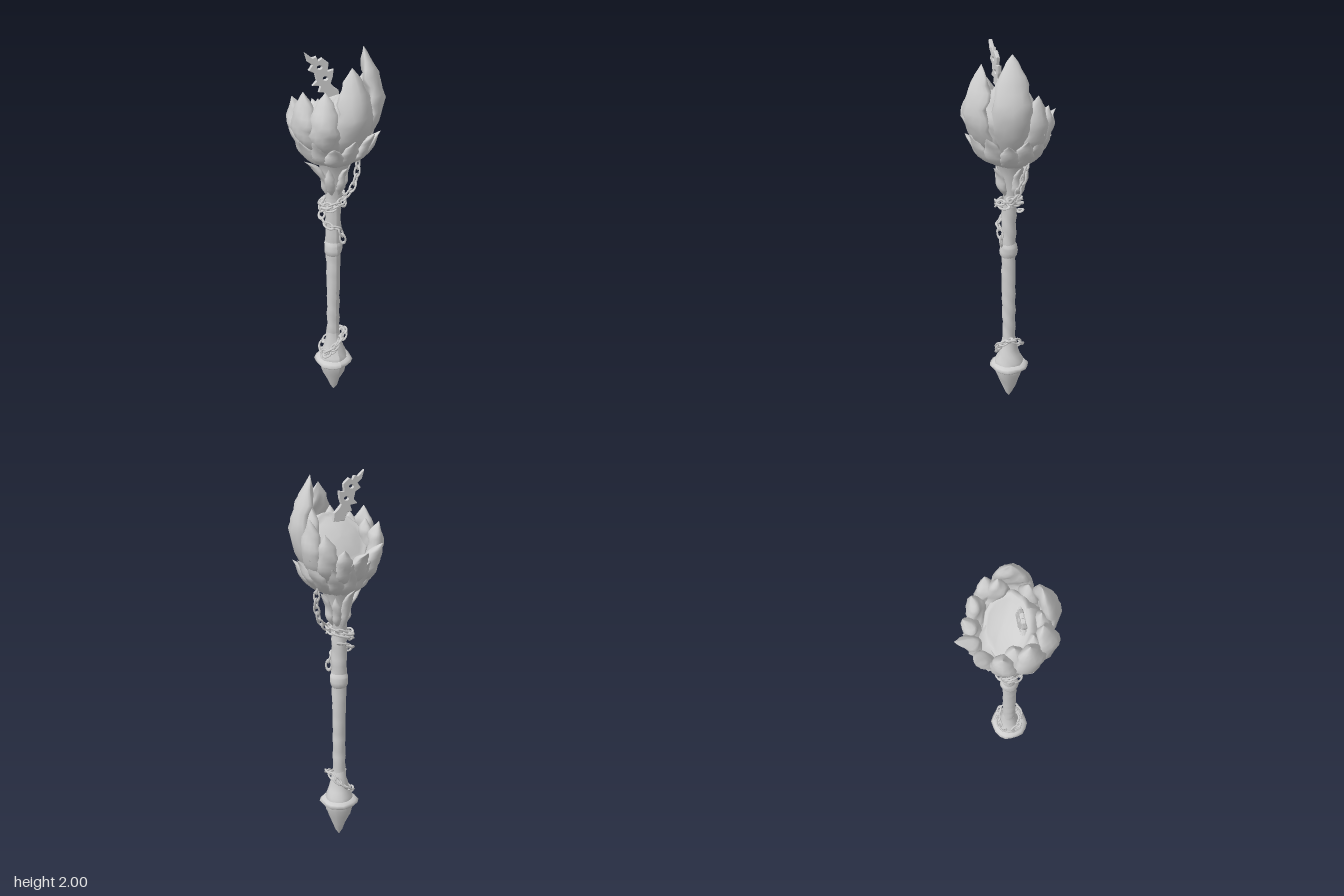
import * as THREE from 'three';

const stone = new THREE.MeshStandardMaterial({ color: 0xcecece, side: THREE.DoubleSide });
stone.name = 'pale stone';
const V = (x, y, z) => new THREE.Vector3(x, y, z);
const rad = THREE.MathUtils.degToRad;

function add(parent, name, geometry) {
  const mesh = new THREE.Mesh(geometry, stone);
  mesh.name = name;
  parent.add(mesh);
  return mesh;
}

// Smooth rolling unevenness for carved surfaces
const bump = (x, y, z) =>
  Math.sin(x * 61 + y * 23) * Math.cos(z * 57 - y * 31) + 0.6 * Math.sin(y * 67 + x * 40 - z * 45);

function roughen(geometry, amount) {
  const p = geometry.attributes.position;
  for (let i = 0; i < p.count; i++) {
    const x = p.getX(i), y = p.getY(i), z = p.getZ(i);
    const k = Math.hypot(x, z) < 0.005 ? 0 : amount * bump(x, y, z) / Math.hypot(x, z);
    p.setXYZ(i, x * (1 + k), y, z * (1 + k));
  }
  geometry.computeVertexNormals();
  return geometry;
}

const lathe = (points, sides) => new THREE.LatheGeometry(points.map(([r, y]) => new THREE.Vector2(r, y)), sides);

// A thick pointed petal wrapped around the staff axis; azimuth 0 faces the front
function petal({ az, y0, y1, r0, rm, rt, hw, th }) {
  const h = y1 - y0, rows = 14, sides = 16;
  const spine = new THREE.CatmullRomCurve3([
    V(r0, y0, 0), V(r0 * 0.3 + rm * 0.7, y0 + 0.25 * h, 0), V(rm, y0 + 0.52 * h, 0),
    V(rm * 0.55 + rt * 0.45, y0 + 0.8 * h, 0), V(rt, y1, 0)]);
  const breadth = new THREE.CatmullRomCurve3(
    [0.5, 0.82, 1, 1, 0.9, 0.55, 0.02].map((w, i) => V(i, w, 0)));
  const pos = [], index = [];
  for (let j = 0; j <= rows; j++) {
    const t = j / rows, c = spine.getPoint(t), w = breadth.getPoint(t).y;
    for (let i = 0; i < sides; i++) {
      const a = i / sides * Math.PI * 2, u = Math.cos(a), s = Math.sin(a);
      const ridge = s > 0 ? 0.25 * (1 - Math.abs(u)) : 0;
      const lump = bump(u * hw * 0.7 + az, c.y * 0.8, az);
      const r = Math.max(0.005, c.x + th * Math.min(1, w * 1.2) * (s + ridge - 0.85) + 0.007 * w * lump);
      const jag = 1 + 0.1 * Math.sin(j * 2.1 + az + 3 * u);
      const ang = rad(az) + u * hw * w * jag / Math.max(c.x, 0.06);
      pos.push(r * Math.sin(ang), c.y - 0.02 * w * Math.abs(u) * t, r * Math.cos(ang));
      if (j < rows) {
        const a0 = j * sides + i, b0 = j * sides + (i + 1) % sides;
        index.push(a0, a0 + sides, b0, b0, a0 + sides, b0 + sides);
      }
    }
  }
  const g = new THREE.BufferGeometry();
  g.setAttribute('position', new THREE.Float32BufferAttribute(pos, 3));
  g.setIndex(index);
  g.computeVertexNormals();
  return g;
}

// Interlocked oval links along a path, every other link turned a quarter
function chain(parent, name, points) {
  const group = new THREE.Group();
  group.name = name;
  const curve = new THREE.CatmullRomCurve3(points.map(p => V(...p)));
  const n = Math.round(curve.getLength() / 0.04);
  const link = new THREE.TorusGeometry(0.015, 0.0055, 6, 12).scale(1.75, 1, 1);
  for (let i = 0; i < n; i++) {
    const t = (i + 0.5) / n;
    const m = add(group, 'chainLink', link);
    m.position.copy(curve.getPointAt(t));
    m.quaternion.setFromUnitVectors(V(1, 0, 0), curve.getTangentAt(t));
    m.rotateX(i % 2 ? 0.8 : 0.8 + Math.PI / 2);
  }
  parent.add(group);
}

// Points of a coil round the staff
function coil(turns, start, r, height) {
  const pts = [];
  for (let i = 0; i <= turns * 12; i++) {
    const a = rad(start) + i / 12 * Math.PI * 2;
    pts.push([-0.012 + r * Math.sin(a), height(a, i / (turns * 12)), 0.008 + r * Math.cos(a)]);
  }
  return pts;
}

export function createModel() {
  const model = new THREE.Group();
  model.name = 'flowerStaff';

  // Handle, with its pointed foot
  const staff = new THREE.Group();
  staff.name = 'staff';
  staff.position.set(-0.01, 0, 0.01);
  model.add(staff);
  add(staff, 'footSpike', roughen(lathe([[0, 0], [0.016, 0.03], [0.038, 0.08], [0.06, 0.13],
    [0.076, 0.175], [0.08, 0.2]], 14), 0.004));
  add(staff, 'footCollar', roughen(lathe([[0.075, 0.193], [0.092, 0.2], [0.104, 0.214], [0.094, 0.226],
    [0.08, 0.236], [0.06, 0.238]], 18), 0.004));
  add(staff, 'footSocket', roughen(lathe([[0.078, 0.232], [0.073, 0.255], [0.058, 0.285], [0.048, 0.32],
    [0.041, 0.36], [0.035, 0.4]], 16), 0.005));
  const shaft = [];
  for (let i = 0; i <= 24; i++) shaft.push([0.034 + 0.006 * i / 24, 0.38 + i * 0.035]);
  add(staff, 'shaft', roughen(lathe(shaft, 16), 0.003));
  add(staff, 'shaftRing', roughen(lathe([[0.036, 0.885], [0.045, 0.9], [0.048, 0.92], [0.046, 0.94],
    [0.046, 0.95], [0.038, 0.965]], 18), 0.002));

  // Flower head
  const head = new THREE.Group();
  head.name = 'flowerHead';
  model.add(head);
  add(head, 'neck', roughen(lathe([[0.04, 1.18], [0.043, 1.24], [0.052, 1.3], [0.064, 1.36],
    [0.082, 1.42], [0.115, 1.47], [0.15, 1.54], [0.1, 1.6]], 20), 0.005));

  // Round heart of the flower, leaning open to the back
  const heart = add(head, 'heart', roughen(lathe([[0, -0.15], [0.06, -0.145], [0.12, -0.11], [0.15, -0.06],
    [0.16, -0.015], [0.155, 0.005], [0.145, 0.01], [0.135, 0.005], [0.115, 0.01], [0.085, 0.018],
    [0.045, 0.024], [0, 0.026]], 28), 0.005));
  heart.position.set(0, 1.68, 0);
  heart.rotation.x = -0.85;

  // Large petals: azimuth, tip height, widest radius, tip radius, half width
  const large = [
    [4, 1.94, 0.24, 0.165, 0.108], [65, 2.0, 0.232, 0.14, 0.11],
    [102, 1.81, 0.222, 0.205, 0.07], [127, 1.74, 0.205, 0.2, 0.065], [154, 1.67, 0.19, 0.205, 0.06],
    [180, 1.66, 0.185, 0.25, 0.055], [-145, 1.68, 0.195, 0.23, 0.065], [-112, 1.76, 0.215, 0.205, 0.07],
    [-75, 1.82, 0.23, 0.195, 0.085], [-40, 1.83, 0.235, 0.175, 0.085]];
  for (const [az, y1, rm, rt, hw] of large)
    add(head, 'largePetal', petal({ az, y0: 1.47, y1, r0: 0.11, rm, rt, hw, th: 0.036 }));

  // Inner petals filling the gaps of the tall front
  for (const [az, y1] of [[-18, 1.82], [34, 1.85], [88, 1.85], [-56, 1.79], [-94, 1.77]])
    add(head, 'innerPetal', petal({ az, y0: 1.5, y1, r0: 0.11, rm: 0.195, rt: 0.155, hw: 0.07, th: 0.035 }));

  // Short scales beneath
  const scales = [[0, 1.6], [32, 1.61], [60, 1.58], [84, 1.6], [108, 1.62], [138, 1.58], [166, 1.6],
    [-166, 1.6], [-132, 1.58], [-100, 1.62], [-74, 1.58], [-50, 1.62], [-26, 1.57]];
  for (const [az, y1] of scales) {
    const back = Math.abs(az) > 120;
    add(head, 'scalePetal', petal({ az, y0: 1.41, y1, r0: 0.07, rm: back ? 0.155 : 0.185,
      rt: back ? 0.205 : 0.23, hw: 0.052, th: 0.022 }));
  }

  // Thorny leaves on the neck
  for (const [az, y1, rt] of [[-90, 1.44, 0.165], [90, 1.42, 0.11], [180, 1.45, 0.14], [10, 1.41, 0.11],
    [-45, 1.4, 0.085], [135, 1.4, 0.085]])
    add(head, 'neckThorn', petal({ az, y0: 1.24, y1, r0: 0.042, rm: 0.076, rt, hw: 0.03, th: 0.018 }));

  // Flame wisp rising from the front rim of the heart
  const wisp = new THREE.Shape([[0.0, 1.76], [-0.005, 1.8], [-0.03, 1.82], [-0.045, 1.84], [-0.035, 1.87],
    [-0.03, 1.905], [-0.06, 1.9], [-0.055, 1.94], [-0.085, 1.965], [-0.105, 1.955], [-0.115, 1.975],
    [-0.135, 1.97], [-0.168, 2.0], [-0.155, 1.96], [-0.13, 1.94], [-0.148, 1.915], [-0.12, 1.9],
    [-0.11, 1.86], [-0.13, 1.84], [-0.09, 1.835], [-0.1, 1.805], [-0.07, 1.8],
    [-0.06, 1.76]].map(([x, y]) => new THREE.Vector2(x, y)));
  for (const [x, y, r] of [[-0.098, 1.925, 0.015], [-0.07, 1.868, 0.015]])
    wisp.holes.push(new THREE.Path().absellipse(x, y, r, r * 0.8, 0, Math.PI * 2, true));
  const flame = add(head, 'flameWisp', new THREE.ExtrudeGeometry(wisp, {
    depth: 0.012, bevelThickness: 0.004, bevelSize: 0.003, bevelSegments: 1, curveSegments: 5 }));
  flame.position.z = 0.045;
  flame.rotation.y = -0.13;

  // Chains
  chain(model, 'hangingChain', [[0.125, 1.47, -0.015], [0.138, 1.42, -0.01], [0.128, 1.34, 0.01],
    [0.095, 1.26, 0.025], [0.05, 1.215, 0.035]]);
  chain(model, 'neckChain', coil(2, 60, 0.06, (a, t) => 1.215 - 0.04 * t - 0.018 * Math.cos(a + 2)));
  chain(model, 'looseChain', [[0.03, 1.15, -0.045], [-0.03, 1.13, -0.05], [-0.066, 1.1, -0.01],
    [-0.05, 1.075, 0.05], [-0.01, 1.06, 0.066], [0.012, 1.02, 0.068], [0.018, 0.975, 0.066]]);
  chain(model, 'footChain', coil(1, 90, 0.066, a => 0.335 + 0.06 * Math.sin(a + 0.25)));
  chain(model, 'footChainEnd', [[0.04, 0.4, 0.02], [0, 0.36, 0.06], [-0.04, 0.31, 0.068], [-0.08, 0.27, 0.04]]);

  return model;
}
